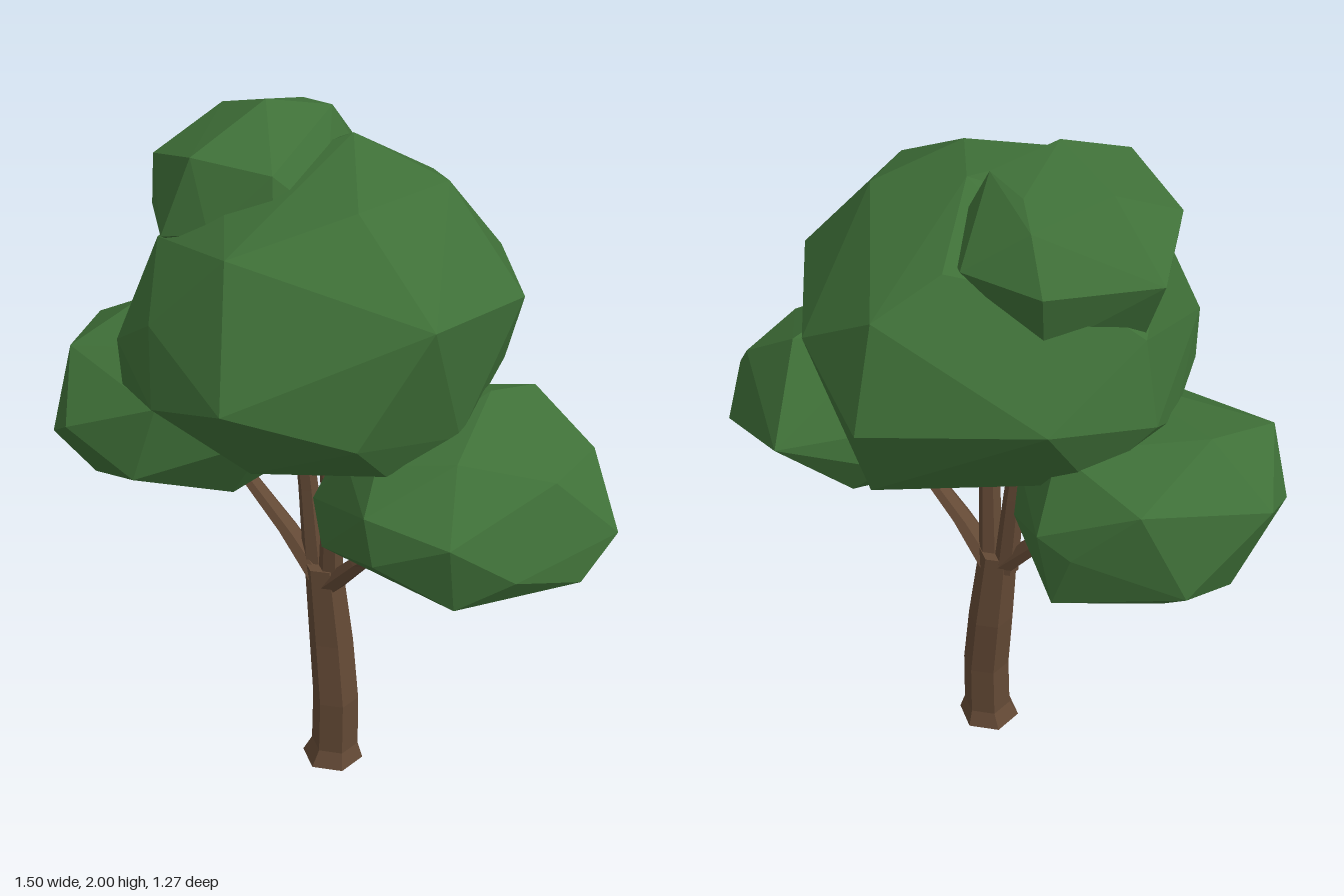
import * as THREE from 'three';
import { ConvexGeometry } from 'three/addons/geometries/ConvexGeometry.js';

const bark = new THREE.MeshStandardMaterial({ color: 0x634935 });
bark.name = 'bark brown';
const leaf = new THREE.MeshStandardMaterial({ color: 0x3f7038 });
leaf.name = 'leaf green';

// Faceted foliage: hull around loops of [x, y, z] corners
function foliage(name, { top, belt, bottom }) {
  const points = [...top, ...belt, ...bottom].map((p) => new THREE.Vector3(...p));
  const mesh = new THREE.Mesh(new ConvexGeometry(points), leaf);
  mesh.name = name;
  return mesh;
}

// Faceted limb: hexagonal sections, each [x, y, z, radius]
function limb(name, sections, sides = 6) {
  const pos = [];
  const corner = ([x, y, z, r], i) => {
    const a = (i / sides) * Math.PI * 2 + Math.PI / 12;
    return [x + r * Math.cos(a), y, z + r * Math.sin(a)];
  };
  const last = sections.length - 1;
  for (let i = 0; i < sides; i++) {
    for (let k = 0; k < last; k++) {
      const a = corner(sections[k], i), b = corner(sections[k], i + 1);
      const c = corner(sections[k + 1], i + 1), d = corner(sections[k + 1], i);
      pos.push(...a, ...c, ...b, ...a, ...d, ...c);
    }
    // End caps
    pos.push(...sections[0].slice(0, 3), ...corner(sections[0], i), ...corner(sections[0], i + 1));
    pos.push(...sections[last].slice(0, 3), ...corner(sections[last], i + 1), ...corner(sections[last], i));
  }
  const geo = new THREE.BufferGeometry();
  geo.setAttribute('position', new THREE.Float32BufferAttribute(pos, 3));
  geo.computeVertexNormals();
  const mesh = new THREE.Mesh(geo, bark);
  mesh.name = name;
  return mesh;
}

export function createModel() {
  const tree = new THREE.Group();
  tree.name = 'tree';

  // Gently bent trunk with a flared foot
  tree.add(limb('trunk', [
    [0.027, 0, 0.005, 0.091], [0.033, 0.05, 0.005, 0.07], [0.035, 0.22, 0.005, 0.068],
    [0.022, 0.42, -0.012, 0.065], [0, 0.67, -0.018, 0.055],
  ]));

  // Side branches and upright branches
  tree.add(limb('rightBranch', [[0, 0.61, -0.02, 0.045], [-0.1, 0.75, -0.09, 0.034], [-0.225, 0.9, -0.175, 0.026]]));
  tree.add(limb('leftBranch', [[0.01, 0.6, -0.01, 0.045], [0.1, 0.73, 0.07, 0.034], [0.21, 0.86, 0.16, 0.026]]));
  tree.add(limb('backUprightBranch', [[-0.02, 0.62, -0.04, 0.036], [-0.04, 0.9, -0.06, 0.029], [-0.068, 1.18, -0.075, 0.023]]));
  tree.add(limb('frontUprightBranch', [[0.02, 0.62, -0.005, 0.036], [0.022, 0.9, 0.025, 0.03], [0.005, 1.1, 0.02, 0.025]]));

  // Foliage
  tree.add(foliage('mainCrown', {
    top: [
      [0.08, 1.91, -0.1], [0.31, 1.83, 0.04], [0.07, 1.83, 0.25], [-0.16, 1.8, 0.13], [-0.25, 1.75, 0.33],
      [-0.25, 1.79, -0.1], [-0.42, 1.68, 0], [-0.2, 1.72, -0.39], [0.15, 1.79, -0.34], [0.32, 1.7, -0.4],
    ],
    belt: [
      [-0.535, 1.42, 0.05], [-0.44, 1.55, 0.25], [-0.44, 1.36, 0.33], [-0.27, 1.44, 0.53], [0.05, 1.36, 0.57],
      [0.23, 1.65, 0.54], [0.49, 1.58, 0.19], [0.49, 1.55, -0.22], [0.37, 1.43, -0.47], [-0.08, 1.47, -0.56],
      [-0.36, 1.38, -0.41], [-0.33, 1.6, -0.36],
    ],
    bottom: [
      [-0.53, 1.28, 0.03], [-0.2, 1.19, 0.36], [0.13, 1.23, 0.46], [0.32, 1.28, 0.36], [0.48, 1.32, 0],
      [0.34, 1.19, -0.37], [-0.2, 1.22, -0.42], [-0.43, 1.28, -0.25], [-0.2, 1.17, 0.1], [0, 1.135, -0.05], [0.25, 1.17, 0.05],
    ],
  }));
  tree.add(foliage('topCrown', {
    top: [
      [-0.14, 2, -0.1], [-0.33, 1.9, 0.04], [0.03, 1.96, -0.17], [-0.04, 1.945, -0.28],
      [-0.05, 1.91, -0.38], [-0.25, 1.94, -0.27], [-0.13, 1.87, 0.1],
    ],
    belt: [
      [-0.07, 1.79, -0.47], [-0.36, 1.77, -0.4], [-0.43, 1.84, -0.17], [-0.435, 1.73, -0.1], [-0.41, 1.7, 0.05],
      [-0.29, 1.72, 0.1], [-0.13, 1.72, 0.135], [0, 1.75, 0.07], [0.135, 1.77, -0.18], [0.11, 1.8, -0.35],
    ],
    bottom: [[-0.08, 1.62, -0.42], [-0.33, 1.61, -0.34], [-0.15, 1.55, -0.2], [0.05, 1.62, -0.15], [-0.32, 1.61, -0.08]],
  }));
  tree.add(foliage('rightFoliage', {
    top: [
      [-0.5, 1.33, -0.4], [-0.12, 1.31, -0.4], [-0.69, 1.26, -0.25], [-0.63, 1.22, -0.56],
      [-0.3, 1.26, -0.61], [-0.3, 1.31, -0.1], [-0.45, 1.2, 0.03],
    ],
    belt: [
      [-0.75, 1.02, -0.2], [-0.71, 1.12, -0.38], [-0.42, 1.02, -0.64], [-0.14, 1.1, -0.57], [-0.06, 1.15, -0.53],
      [-0.04, 1.15, -0.25], [-0.15, 1.1, 0.03], [-0.52, 0.98, 0.02], [-0.7, 1.1, -0.07],
    ],
    bottom: [
      [-0.64, 0.885, -0.2], [-0.56, 0.94, -0.5], [-0.38, 0.93, -0.55], [-0.1, 0.93, -0.53],
      [-0.2, 0.875, -0.4], [-0.03, 0.95, -0.2], [-0.25, 0.875, -0.08],
    ],
  }));
  tree.add(foliage('leftFoliage', {
    top: [
      [0.41, 1.345, 0.24], [0.54, 1.31, 0.14], [0.28, 1.31, 0.13], [0.15, 1.24, 0.09], [0.68, 1.19, 0.27],
      [0.55, 1.2, 0.46], [0.3, 1.27, 0.48], [0.11, 1.24, 0.42], [0.04, 1.19, 0.3],
    ],
    belt: [
      [0.745, 0.99, 0.23], [0.72, 1.04, 0.44], [0.44, 1, 0.6], [0.27, 1.12, 0.635], [0.09, 1.04, 0.57],
      [0.07, 1.16, 0.54], [-0.04, 1.05, 0.25], [0.08, 1.13, 0], [0.3, 1, -0.045], [0.6, 1.08, -0.05],
    ],
    bottom: [
      [0.62, 0.94, 0.51], [0.61, 0.9, 0.27], [0.29, 0.925, 0.6], [0.22, 0.82, 0.24],
      [-0.02, 0.93, 0.3], [0, 0.97, 0.04], [0.4, 0.9, 0],
    ],
  }));
  return tree;
}
